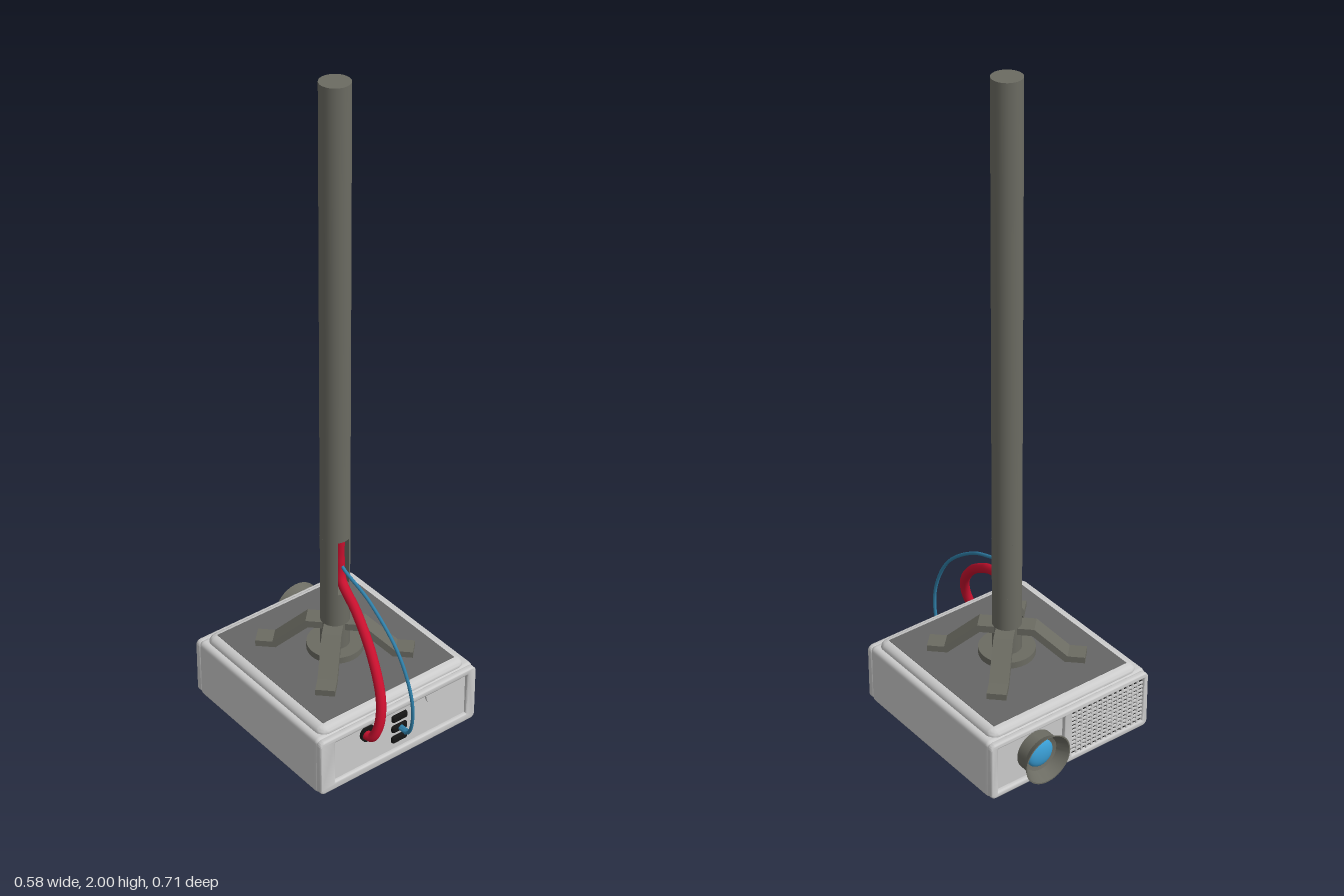
import * as THREE from 'three';
import { toCreasedNormals } from 'three/addons/utils/BufferGeometryUtils.js';
import { RoundedBoxGeometry } from 'three/addons/geometries/RoundedBoxGeometry.js';

const mat = (color, side = THREE.FrontSide) => new THREE.MeshStandardMaterial({ color, side });
const shell = mat(0xcccccc);
const dark = mat(0x666666);
const metal = mat(0x6b6b62);
const metalThin = mat(0x6b6b62, THREE.DoubleSide);
const black = mat(0x151515);
const red = mat(0xc8102e);
const blue = mat(0x2f7fa8);
const glass = mat(0x3a9fd6);

function add(parent, name, geometry, material, x = 0, y = 0, z = 0) {
  const mesh = new THREE.Mesh(geometry, material);
  mesh.name = name;
  mesh.position.set(x, y, z);
  parent.add(mesh);
  return mesh;
}

// Rounded rectangle outline centred on (cx, cy), as a Shape or a hole Path
function roundRect(Type, w, h, r, cx = 0, cy = 0) {
  const s = new Type();
  const corners = [[1, 1, 0], [-1, 1, 1], [-1, -1, 2], [1, -1, 3]];
  for (const [sx, sy, q] of corners) {
    s.absarc(cx + sx * (w / 2 - r), cy + sy * (h / 2 - r), r, q * Math.PI / 2, (q + 1) * Math.PI / 2, false);
  }
  s.closePath();
  return s;
}

// Bezel plate with rectangular openings, facing +z
function bezel(w, h, holes, depth) {
  const b = 0.005;
  const shape = roundRect(THREE.Shape, w - 2 * b, h - 2 * b, 0.012);
  for (const [hw, hh, cx, cy] of holes) shape.holes.push(roundRect(THREE.Path, hw + 2 * b, hh + 2 * b, 0.006, cx, cy));
  return toCreasedNormals(new THREE.ExtrudeGeometry(shape, {
    depth: depth - b, bevelEnabled: true, bevelSize: b, bevelThickness: b, bevelSegments: 3, curveSegments: 5,
  }), 0.6);
}

function buildCase(projector) {
  add(projector, 'caseBody', new RoundedBoxGeometry(0.565, 0.195, 0.568, 3, 0.015), shell, 0, 0.0975, 0);

  // Raised lid with a soft edge and a dark top panel
  const lid = new THREE.ExtrudeGeometry(roundRect(THREE.Shape, 0.475, 0.5, 0.004), {
    depth: 0.006, bevelEnabled: true, bevelSize: 0.025, bevelThickness: 0.02, bevelSegments: 5, curveSegments: 3,
  });
  add(projector, 'lid', toCreasedNormals(lid, 0.6), shell, 0, 0.189, 0).rotation.x = -Math.PI / 2;
  add(projector, 'topPanel', new THREE.BoxGeometry(0.475, 0.004, 0.5), dark, 0, 0.2145, 0);

  // Connector side
  const front = new THREE.Group();
  front.name = 'connectorPanel';
  front.position.set(0, 0.0975, 0.281);
  projector.add(front);
  add(front, 'frontBezel', bezel(0.565, 0.187, [[0.48, 0.14, 0.01, 0.003]], 0.016), shell);
  add(front, 'panelInset', new THREE.BoxGeometry(0.48, 0.14, 0.006), shell, 0.01, 0.003, 0.002);
  for (const y of [0.043, 0.006, -0.032]) {
    add(front, 'socket', new RoundedBoxGeometry(0.054, 0.023, 0.02, 2, 0.006), black, 0.005, y, 0.004);
  }
  add(front, 'bluePlug', new THREE.CylinderGeometry(0.009, 0.009, 0.035, 16), blue, 0.007, 0.006, 0.02).rotation.x = Math.PI / 2;
  add(front, 'powerSocket', new THREE.CylinderGeometry(0.026, 0.026, 0.02, 24), black, -0.11, 0.043, 0.004)
    .rotation.x = Math.PI / 2;
  const half = new THREE.Shape();
  half.absarc(0, 0, 0.046, Math.PI, 2 * Math.PI, false);
  half.closePath();
  add(front, 'roundTab', new THREE.ExtrudeGeometry(half, { depth: 0.012, bevelEnabled: false, curveSegments: 16 }),
    shell, 0.145, 0.072, 0);
}

function buildLensSide(projector) {
  // Local +z points out of the rear, so local +x is the model's right
  const rear = new THREE.Group();
  rear.name = 'lensSide';
  rear.position.set(0, 0.0975, -0.281);
  rear.rotation.y = Math.PI;
  projector.add(rear);
  add(rear, 'rearBezel', bezel(0.565, 0.187, [[0.235, 0.15, -0.14, 0], [0.26, 0.15, 0.135, 0]], 0.016), shell);

  // Vent grille: dark backing behind crossed bars
  add(rear, 'grilleBacking', new THREE.BoxGeometry(0.26, 0.15, 0.006), black, 0.135, 0, 0.002);
  for (let i = 1; i < 14; i++) {
    add(rear, 'grilleUpright', new THREE.BoxGeometry(0.006, 0.15, 0.006), shell, 0.005 + i * 0.26 / 14, 0, 0.009);
  }
  for (let i = 1; i < 11; i++) {
    add(rear, 'grilleSlat', new THREE.BoxGeometry(0.26, 0.005, 0.006), shell, 0.135, -0.075 + i * 0.15 / 11, 0.009);
  }

  // Flared lens hood turned around its axis, with a domed glass
  const profile = [[0.062, 0], [0.062, 0.041], [0.066, 0.043], [0.078, 0.064], [0.074, 0.064], [0.055, 0.03], [0.04, 0.024], [0, 0.024]]
    .map(([r, d]) => new THREE.Vector2(r, d));
  const hood = toCreasedNormals(new THREE.LatheGeometry(profile, 40), 0.4);
  add(rear, 'lensHood', hood, metalThin, -0.12, 0.003, 0).rotation.x = Math.PI / 2;
  const dome = new THREE.SphereGeometry(0.044, 28, 10, 0, Math.PI * 2, 0, Math.PI / 2);
  dome.scale(1, 0.4, 1);
  add(rear, 'lensGlass', dome, glass, -0.12, 0.003, 0.024).rotation.x = Math.PI / 2;
}

function buildMount(mount) {
  const R = 0.043;
  // Pole, with a cable slot facing forward
  const lo = 0.43, hi = 0.61, gap = 0.48;
  add(mount, 'poleUpper', new THREE.CylinderGeometry(R, R, 2 - hi, 32), metal, 0, (2 + hi) / 2, 0);
  add(mount, 'poleLower', new THREE.CylinderGeometry(R, R, lo - 0.21, 32), metal, 0, (lo + 0.21) / 2, 0);
  add(mount, 'poleSlot', new THREE.CylinderGeometry(R, R, hi - lo, 32, 1, true, gap, 2 * Math.PI - 2 * gap),
    metalThin, 0, (hi + lo) / 2, 0);
  add(mount, 'flange', new THREE.CylinderGeometry(0.083, 0.083, 0.022, 40), metal, 0, 0.226, 0);

  // Four bent strap legs
  const side = [[0.03, 0.32], [0.082, 0.32], [0.178, 0.236], [0.228, 0.236], [0.228, 0.216], [0.17, 0.216], [0.075, 0.298], [0.03, 0.298]];
  const strap = new THREE.ExtrudeGeometry(new THREE.Shape(side.map(([x, y]) => new THREE.Vector2(x, y))),
    { depth: 0.056, bevelEnabled: false });
  strap.translate(0, 0, -0.028);
  for (let i = 0; i < 4; i++) {
    add(mount, 'leg', strap, metal).rotation.y = Math.PI / 4 + i * Math.PI / 2;
  }
}

function cable(parent, name, points, radius, material) {
  const curve = new THREE.CatmullRomCurve3(points.map((p) => new THREE.Vector3(...p)));
  add(parent, name, new THREE.TubeGeometry(curve, 72, radius, 12), material);
}

export function createModel() {
  const model = new THREE.Group();
  model.name = 'ceilingProjector';

  // Projector and mount sit slightly turned
  const projector = new THREE.Group();
  projector.name = 'projector';
  projector.position.z = -0.01;
  projector.rotation.y = 0.03;
  model.add(projector);
  buildCase(projector);
  buildLensSide(projector);

  const mount = new THREE.Group();
  mount.name = 'mount';
  mount.position.z = -0.01;
  mount.rotation.y = 0.03;
  model.add(mount);
  buildMount(mount);

  // Cables leave the pole slot and loop down to the connector side
  cable(model, 'redCable', [[0, 0.61, 0.012], [0, 0.54, 0.012], [-0.003, 0.475, 0.025], [-0.02, 0.425, 0.12],
    [-0.045, 0.35, 0.225], [-0.07, 0.26, 0.3], [-0.09, 0.19, 0.32], [-0.105, 0.145, 0.308], [-0.11, 0.14, 0.275]], 0.0145, red);
  cable(model, 'blueCable', [[0, 0.55, 0], [0, 0.52, 0.025], [0.003, 0.47, 0.15], [0.007, 0.37, 0.275],
    [0.01, 0.25, 0.335], [0.011, 0.16, 0.34], [0.011, 0.11, 0.32], [0.01, 0.104, 0.28]], 0.005, blue);

  return model;
}
